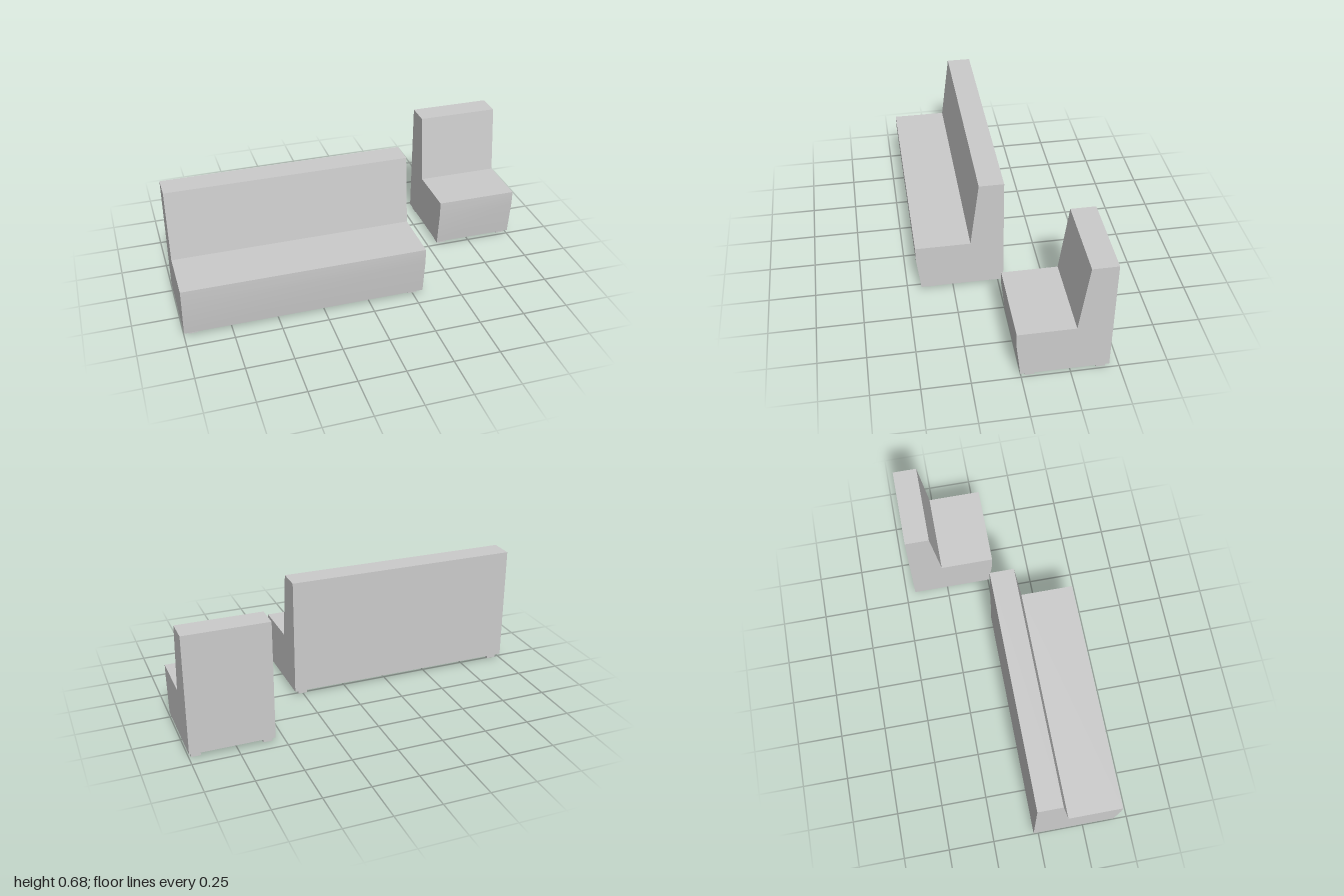
import * as THREE from 'three';
import { toCreasedNormals } from 'three/addons/utils/BufferGeometryUtils.js';

// Side profile as [z, y], measured from the rear face of the seat
const PROFILE = [[0, 0.025], [0.452, 0.025], [0.474, 0.22], [0.475, 0.3], [0.179, 0.3], [0.132, 0.675], [0, 0.675]];
const FOOT = { size: 0.05, height: 0.025 };

const shellMaterial = new THREE.MeshStandardMaterial({ color: 0xcccccc, side: THREE.DoubleSide });
const footMaterial = new THREE.MeshStandardMaterial({ color: 0xcccccc });

// Hollow upholstered body: extruded profile with the underside left open
function bodyGeometry(width) {
  const shape = new THREE.Shape(PROFILE.map(([z, y]) => new THREE.Vector2(z, y)));
  const extruded = new THREE.ExtrudeGeometry(shape, { depth: width, bevelEnabled: false });
  extruded.translate(0, 0, -width / 2).rotateY(-Math.PI / 2);
  const pos = extruded.attributes.position;
  const normal = extruded.attributes.normal;
  const kept = [];
  for (let i = 0; i < pos.count; i += 3) {
    if (normal.getY(i) < -0.9) continue;
    for (let k = i; k < i + 3; k++) kept.push(pos.getX(k), pos.getY(k), pos.getZ(k));
  }
  const open = new THREE.BufferGeometry();
  open.setAttribute('position', new THREE.Float32BufferAttribute(kept, 3));
  return toCreasedNormals(open, Math.PI / 6);
}

function makeSeat(name, width, footX) {
  const seat = new THREE.Group();
  seat.name = name;
  const body = new THREE.Mesh(bodyGeometry(width), shellMaterial);
  body.name = 'body';
  seat.add(body);

  // Four small square feet
  const footGeometry = new THREE.BoxGeometry(FOOT.size, FOOT.height, FOOT.size);
  for (const x of [-footX, footX]) {
    for (const [label, z] of [['rearFoot', 0.041], ['frontFoot', 0.402]]) {
      const foot = new THREE.Mesh(footGeometry, footMaterial);
      foot.name = label;
      foot.position.set(x, FOOT.height / 2, z);
      seat.add(foot);
    }
  }
  return seat;
}

export function createModel() {
  const model = new THREE.Group();
  model.name = 'boothSeating';

  // Long bench in front, single seat set back on the left
  const bench = makeSeat('bench', 1.3, 0.6);
  bench.position.set(-0.35, 0, -0.027);
  const single = makeSeat('singleSeat', 0.45, 0.188);
  single.position.set(0.775, 0, -0.447);
  model.add(bench, single);
  return model;
}
